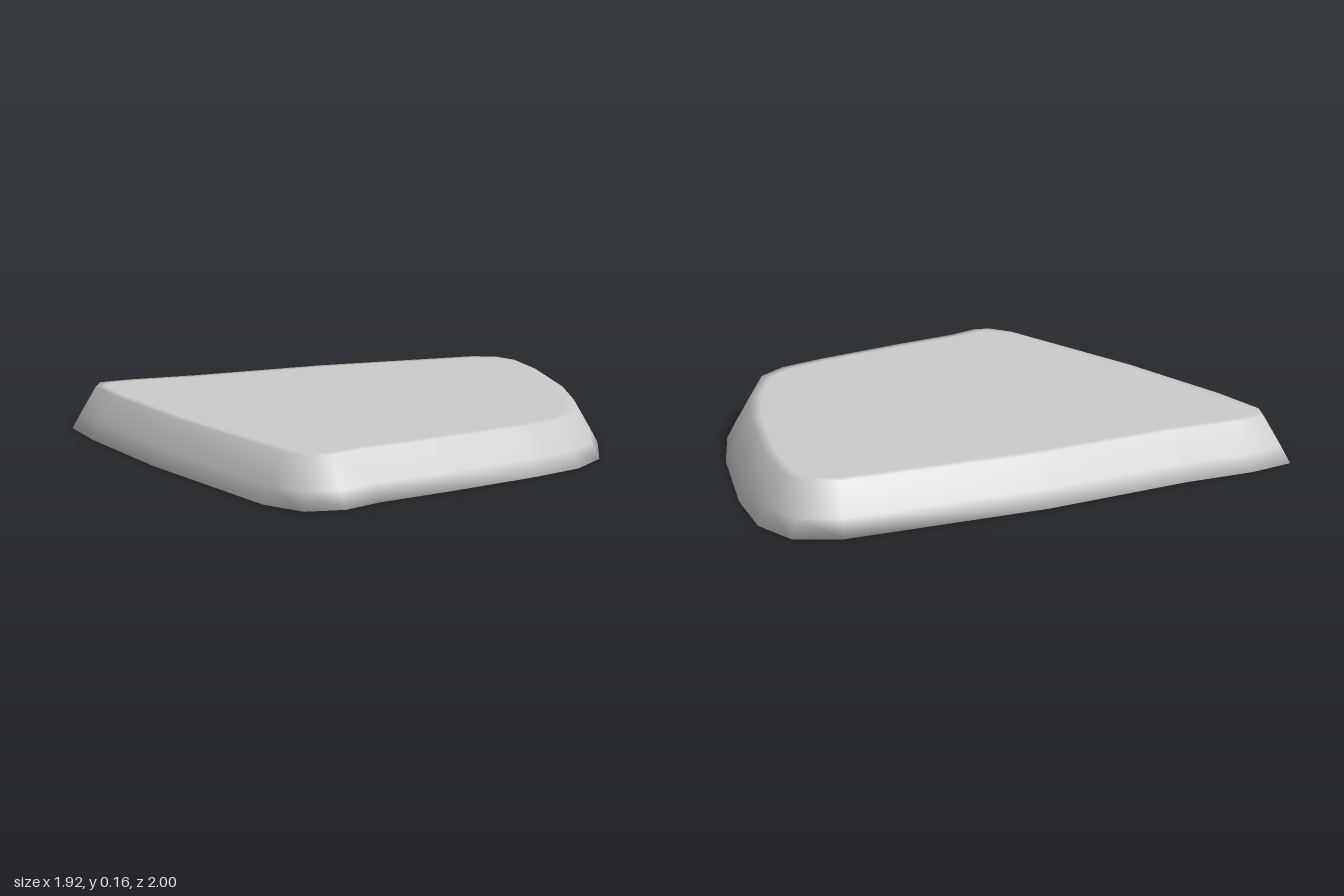
import * as THREE from 'three';

// Ground outline as [x, z], clockwise seen from above
const OUTLINE = [
  [-0.91, -0.74], [-0.74, -0.79], [-0.48, -0.82], [0.05, -0.93], [0.74, -1],
  [0.89, -0.95], [0.957, -0.79], [0.957, -0.53], [0.9, -0.08], [0.83, 0.21],
  [0.72, 0.49], [0.59, 0.62], [0.4, 0.71], [0.06, 0.84], [-0.2, 0.93],
  [-0.33, 1], [-0.46, 0.99], [-0.56, 0.86], [-0.79, 0.18], [-0.92, -0.33], [-0.96, -0.58],
].map(([x, z]) => new THREE.Vector2(x, z));

// Outline moved inwards by a constant distance, with mitred corners
function inset(points, distance) {
  const n = points.length;
  const outward = (a, b) => {
    const d = b.clone().sub(a).normalize();
    return new THREE.Vector2(d.y, -d.x);
  };
  return points.map((p, i) => {
    const n0 = outward(points[(i + n - 1) % n], p);
    const n1 = outward(p, points[(i + 1) % n]);
    const miter = n0.clone().add(n1).divideScalar(1 + n0.dot(n1));
    return p.clone().addScaledVector(miter, -distance);
  });
}

// Rings as [inset, height]: underside, ground edge, sloping side, top edge, top face
const RINGS = [[0.05, 0], [0, 0], [0.03, 0.055], [0.088, 0.155], [0.125, 0.155]];

function slabGeometry() {
  const n = OUTLINE.length, last = RINGS.length - 1;
  const positions = [], index = [];
  for (const [distance, y] of RINGS) {
    for (const p of inset(OUTLINE, distance)) positions.push(p.x, y, p.y);
  }
  const bottom = n * RINGS.length, top = bottom + 1;
  positions.push(0, RINGS[0][1], 0, 0, RINGS[last][1], 0);
  for (let i = 0; i < n; i++) {
    const j = (i + 1) % n;
    for (let k = 0; k < last; k++) {
      const a = k * n + i, b = k * n + j;
      index.push(a, a + n, b + n, a, b + n, b);
    }
    index.push(bottom, i, j, last * n + i, top, last * n + j);
  }
  const geometry = new THREE.BufferGeometry();
  geometry.setAttribute('position', new THREE.Float32BufferAttribute(positions, 3));
  geometry.setIndex(index);
  geometry.computeVertexNormals();
  return geometry;
}

export function createModel() {
  const group = new THREE.Group();
  group.name = 'steppingStone';
  const slab = new THREE.Mesh(slabGeometry(), new THREE.MeshStandardMaterial({ color: 0xcccccc }));
  slab.name = 'stoneSlab';
  group.add(slab);
  return group;
}
